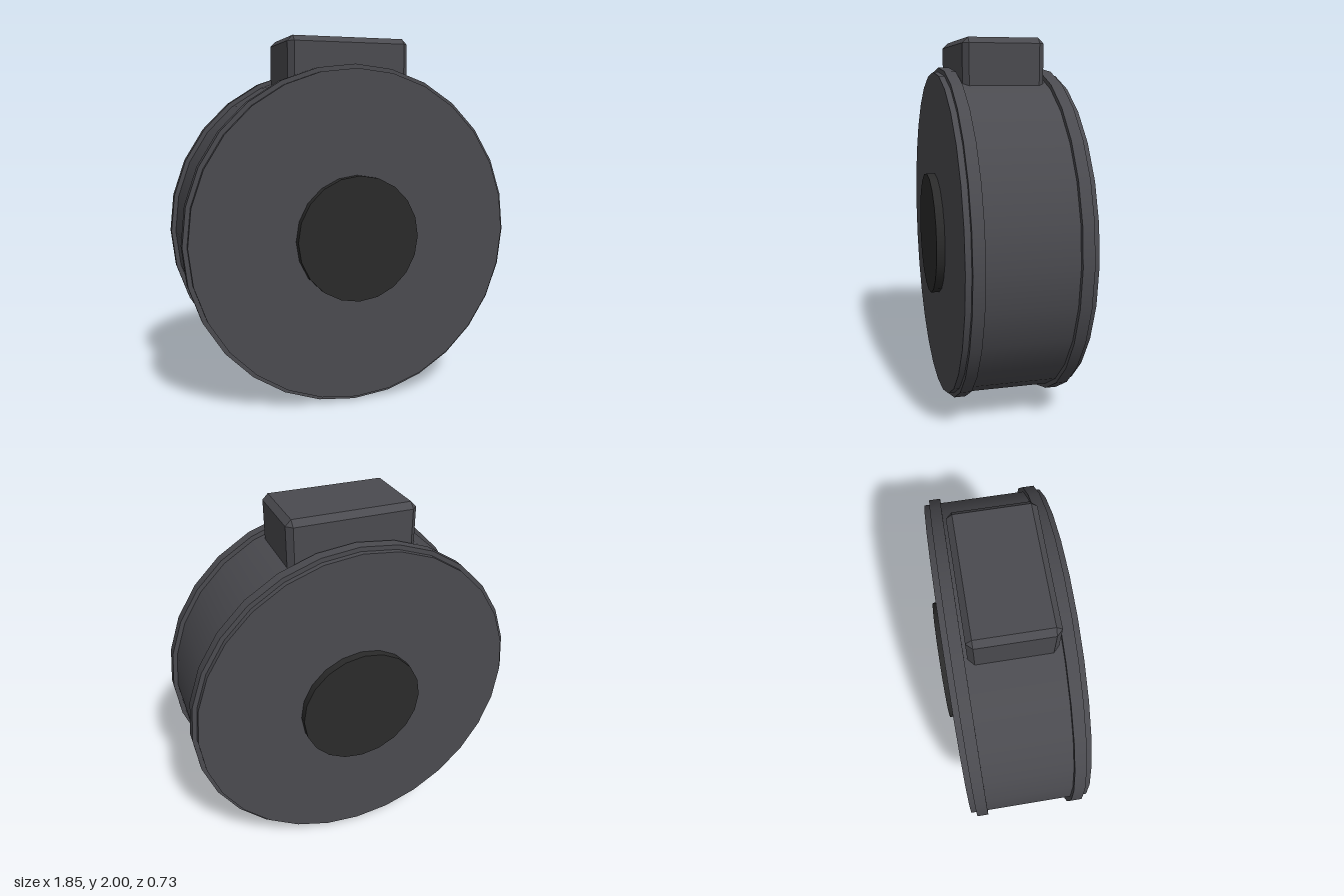
import * as THREE from 'three';
import { ConvexGeometry } from 'three/addons/geometries/ConvexGeometry.js';

export function createModel() {
  const model = new THREE.Group();
  model.name = 'drumMagazine';
  const casing = new THREE.MeshStandardMaterial({ name: 'dark grey casing', color: 0x4a4a4f });
  const hubMat = new THREE.MeshStandardMaterial({ name: 'black hub', color: 0x2a2a2a });
  const axisY = 0.927;

  // Cylinder lying along z, centred on the drum axis
  const disc = (name, radius, depth, sides, z, material) => {
    const geometry = new THREE.CylinderGeometry(radius, radius, depth, sides).rotateX(Math.PI / 2);
    const mesh = new THREE.Mesh(geometry, material);
    mesh.name = name;
    mesh.position.set(0, axisY, z);
    model.add(mesh);
  };

  // Drum, with a raised rim and a hub on each side
  disc('drum', 0.902, 0.64, 28, 0, casing);
  for (const [side, s] of [['front', 1], ['back', -1]]) {
    disc(side + 'Rim', 0.926, 0.06, 28, s * 0.26, casing);
    disc(side + 'Hub', 0.342, 0.065, 20, s * 0.3325, hubMat);
  }

  // Feed block on top: a box with every edge chamfered
  const half = [0.342, 0.2, 0.215], chamfer = 0.03;
  const corners = [];
  for (const x of [-1, 1]) for (const y of [-1, 1]) for (const z of [-1, 1]) {
    for (let full = 0; full < 3; full++) {
      const p = [x, y, z].map((s, i) => s * (half[i] - (i === full ? 0 : chamfer)));
      corners.push(new THREE.Vector3(...p));
    }
  }
  const block = new THREE.Mesh(new ConvexGeometry(corners), casing);
  block.name = 'feedBlock';
  block.position.y = 2 - half[1];
  model.add(block);

  return model;
}
